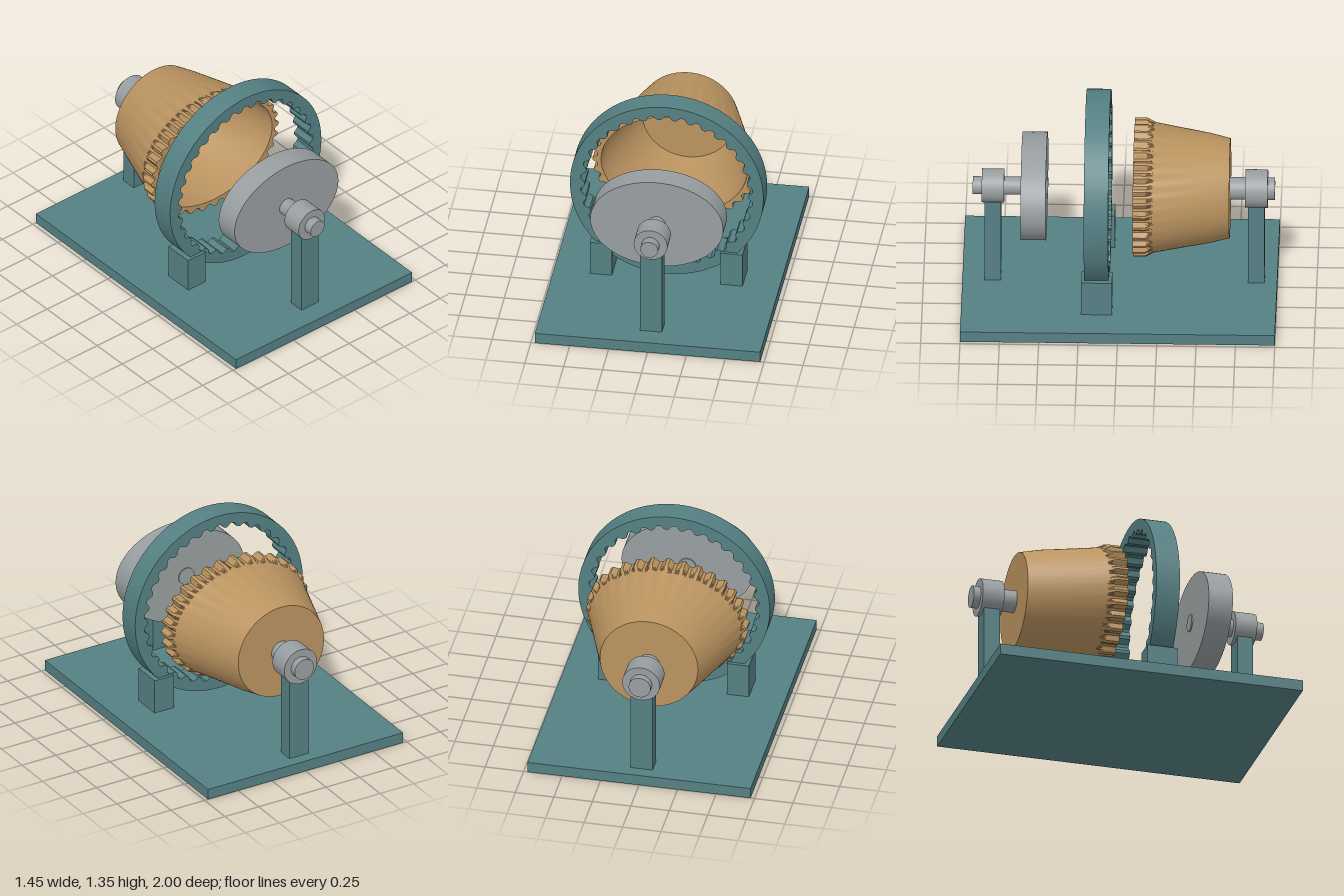
import * as THREE from 'three';
import { toCreasedNormals } from 'three/addons/utils/BufferGeometryUtils.js';

const AXIS_Y = 0.728;
const teal = new THREE.MeshStandardMaterial({ color: 0x558083 });
const tan = new THREE.MeshStandardMaterial({ color: 0xba9360 });
const grey = new THREE.MeshStandardMaterial({ color: 0x989ea0 });

// Flat-topped wave between 0 (root) and 1 (tip)
const tooth = (t, count) =>
  THREE.MathUtils.clamp(0.5 + 0.75 * Math.cos(t * count), 0, 1);

function add(group, name, geometry, material, x = 0, y = 0, z = 0) {
  const mesh = new THREE.Mesh(geometry, material);
  mesh.name = name;
  mesh.position.set(x, y, z);
  group.add(mesh);
  return mesh;
}

function box(group, name, w, y0, y1, z0, z1, x = 0) {
  add(group, name, new THREE.BoxGeometry(w, y1 - y0, z1 - z0), teal,
    x, (y0 + y1) / 2, (z0 + z1) / 2);
}

// Cylinder along z on the main axis, optionally squashed to an ellipse
function disc(group, name, rx, ry, z0, z1) {
  const g = new THREE.CylinderGeometry(1, 1, z1 - z0, 96);
  g.rotateX(Math.PI / 2).scale(rx, ry, 1);
  add(group, name, g, grey, 0, AXIS_Y, (z0 + z1) / 2);
}

// Rigid ring with internal teeth
function ringGeometry() {
  const shape = new THREE.Shape().absarc(0, 0, 0.622, 0, Math.PI * 2);
  const teeth = 34, n = teeth * 10, points = [];
  for (let i = 0; i < n; i++) {
    const t = (i / n) * Math.PI * 2;
    const r = 0.555 - 0.028 * tooth(t, teeth);
    points.push(new THREE.Vector2(r * Math.cos(t), r * Math.sin(t)));
  }
  shape.holes.push(new THREE.Path(points));
  const g = new THREE.ExtrudeGeometry(shape, { depth: 0.155, bevelEnabled: false, curveSegments: 96 });
  return toCreasedNormals(g, 0.35);
}

// Flexible cup: round closed back, elliptical toothed mouth
function cupGeometry() {
  const teeth = 32, n = teeth * 10;
  // [z, x radius, y radius, tooth height]
  const sections = [
    [-0.70, 0, 0, 0],
    [-0.70, 0.318, 0.318, 0],
    [-0.57, 0.365, 0.345, 0],
    [-0.22, 0.49, 0.385, 0],
    [-0.17, 0.495, 0.381, 0.029],
    [-0.09, 0.495, 0.381, 0.029],
    [-0.09, 0.47, 0.355, 0],
    [-0.22, 0.455, 0.35, 0],
    [-0.57, 0.33, 0.31, 0],
    [-0.66, 0.295, 0.29, 0],
    [-0.66, 0, 0, 0],
  ];
  const positions = [], index = [];
  for (const [z, rx, ry, h] of sections) {
    for (let j = 0; j < n; j++) {
      const t = (j / n) * Math.PI * 2;
      const lift = h * tooth(t, teeth);
      positions.push((rx + lift) * Math.cos(t), (ry + lift) * Math.sin(t), z);
    }
  }
  for (let i = 0; i < sections.length - 1; i++) {
    for (let j = 0; j < n; j++) {
      const a = i * n + j, b = i * n + ((j + 1) % n);
      const c = b + n, d = a + n;
      if (sections[i][1] > 0) index.push(a, b, d);
      if (sections[i + 1][1] > 0) index.push(b, c, d);
      // Closing fan at the inner floor
      if (sections[i][1] === 0) index.splice(index.length - 3, 3, a, c, d);
    }
  }
  const g = new THREE.BufferGeometry();
  g.setAttribute('position', new THREE.Float32BufferAttribute(positions, 3));
  g.setIndex(index);
  return toCreasedNormals(g, 0.4);
}

export function createModel() {
  const model = new THREE.Group();
  model.name = 'explodedWaveGear';

  box(model, 'basePlate', 1.45, 0, 0.072, -1, 1);

  // Toothed ring on two feet
  const ring = new THREE.Group();
  ring.name = 'ringAssembly';
  add(ring, 'toothedRing', ringGeometry(), teal, 0, AXIS_Y, 0.062);
  for (const side of [-1, 1])
    box(ring, side < 0 ? 'rightRingFoot' : 'leftRingFoot', 0.142, 0.072, 0.305, 0.04, 0.238, side * 0.42);
  model.add(ring);

  // Elliptical wave generator with input shaft
  const input = new THREE.Group();
  input.name = 'inputAssembly';
  disc(input, 'waveGenerator', 0.427, 0.311, 0.465, 0.624);
  disc(input, 'inputShaft', 0.057, 0.057, 0.457, 0.935);
  disc(input, 'inputBearing', 0.108, 0.108, 0.735, 0.877);
  box(input, 'inputPost', 0.142, 0.072, 0.645, 0.755, 0.86);
  model.add(input);

  // Flexible cup with output shaft
  const output = new THREE.Group();
  output.name = 'outputAssembly';
  add(output, 'flexibleCup', cupGeometry(), tan, 0, AXIS_Y, 0);
  disc(output, 'outputShaft', 0.071, 0.071, -0.985, -0.69);
  disc(output, 'outputBearing', 0.122, 0.122, -0.94, -0.797);
  box(output, 'outputPost', 0.142, 0.072, 0.63, -0.92, -0.815);
  model.add(output);

  return model;
}
